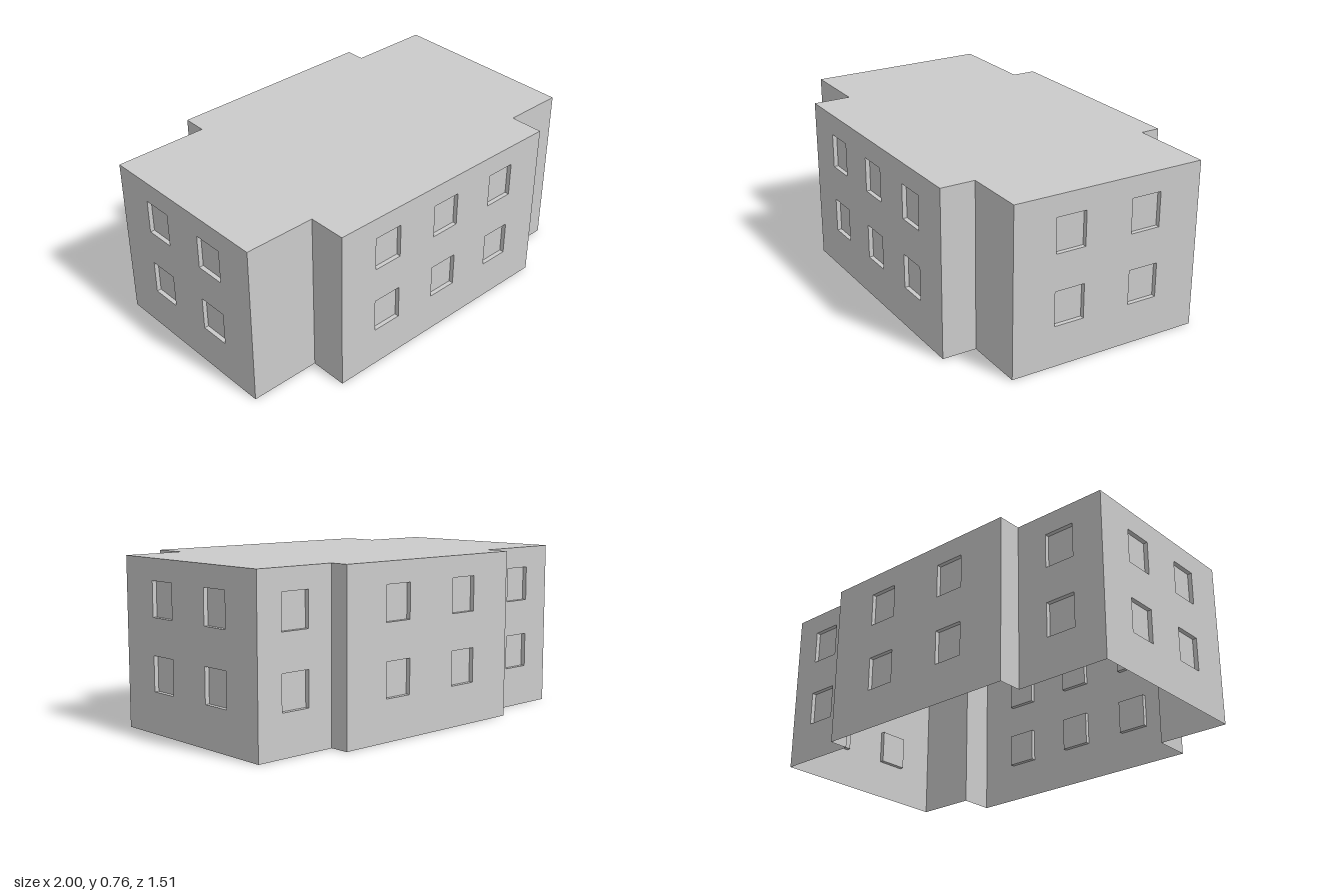
import * as THREE from 'three';

const HEIGHT = 0.757;
const WIN_W = 0.14, WIN_H = 0.156, DEPTH = 0.02;
const WIN_ROWS = [0.263, 0.583]; // window centre heights per storey

// Wall corners [x, z] counter-clockwise from above, each with the window
// columns (fractions along the wall) of the wall that starts there.
const CORNERS = [
  { at: [-0.695, 0.704], name: 'frontLeftWingWall', windows: [] },
  { at: [-0.388, 0.589], name: 'frontStepWall', windows: [] },
  { at: [-0.326, 0.752], name: 'frontMainWall', windows: [0.215, 0.5, 0.787] },
  { at: [0.791, 0.332], name: 'frontReturnWall', windows: [] },
  { at: [0.736, 0.185], name: 'frontRightWingWall', windows: [] },
  { at: [1.0, 0.086], name: 'rightEndWall', windows: [0.296, 0.7] },
  { at: [0.692, -0.757], name: 'backRightWingWall', windows: [0.5] },
  { at: [0.332, -0.621], name: 'backStepWall', windows: [] },
  { at: [0.3, -0.704], name: 'backMainWall', windows: [0.296, 0.704] },
  { at: [-0.631, -0.353], name: 'backReturnWall', windows: [] },
  { at: [-0.593, -0.249], name: 'backLeftWingWall', windows: [0.5] },
  { at: [-1.0, -0.096], name: 'leftEndWall', windows: [0.3, 0.7] },
];

const material = new THREE.MeshStandardMaterial({ color: 0xcccccc, side: THREE.DoubleSide });

function rectangle(PathType, x0, y0, x1, y1) {
  return new PathType([[x0, y0], [x1, y0], [x1, y1], [x0, y1]].map(p => new THREE.Vector2(...p)));
}

// Shallow box without its outer face: four reveals and a pane
function recessGeometry() {
  const geometry = new THREE.BoxGeometry(WIN_W, WIN_H, DEPTH);
  const index = Array.from(geometry.index.array);
  index.splice(24, 6); // drop the +z face
  geometry.setIndex(index);
  geometry.clearGroups();
  return geometry;
}

// A wall panel with window openings; local x runs along it, local z points out
function createWall(start, end, columns, name, recess) {
  const dx = end[0] - start[0], dz = end[1] - start[1];
  const length = Math.hypot(dx, dz);
  const wall = new THREE.Group();
  wall.name = name;
  wall.position.set(start[0], 0, start[1]);
  wall.rotation.y = Math.atan2(-dz, dx);

  const shape = rectangle(THREE.Shape, 0, 0, length, HEIGHT);
  for (const fraction of columns) {
    for (const y of WIN_ROWS) {
      const x = fraction * length;
      shape.holes.push(rectangle(THREE.Path, x - WIN_W / 2, y - WIN_H / 2, x + WIN_W / 2, y + WIN_H / 2));
      const niche = new THREE.Mesh(recess, material);
      niche.name = 'windowRecess';
      niche.position.set(x, y, -DEPTH / 2);
      wall.add(niche);
    }
  }
  const panel = new THREE.Mesh(new THREE.ShapeGeometry(shape), material);
  panel.name = 'wallPanel';
  wall.add(panel);
  return wall;
}

export function createModel() {
  const building = new THREE.Group();
  building.name = 'building';

  // Walls around the footprint, open underneath
  const recess = recessGeometry();
  CORNERS.forEach((corner, i) => {
    const next = CORNERS[(i + 1) % CORNERS.length];
    building.add(createWall(corner.at, next.at, corner.windows, corner.name, recess));
  });

  // Flat roof over the footprint
  const outline = new THREE.Shape(CORNERS.map(({ at }) => new THREE.Vector2(at[0], -at[1])));
  const roof = new THREE.Mesh(new THREE.ShapeGeometry(outline), material);
  roof.name = 'flatRoof';
  roof.rotation.x = -Math.PI / 2;
  roof.position.y = HEIGHT;
  building.add(roof);

  return building;
}
